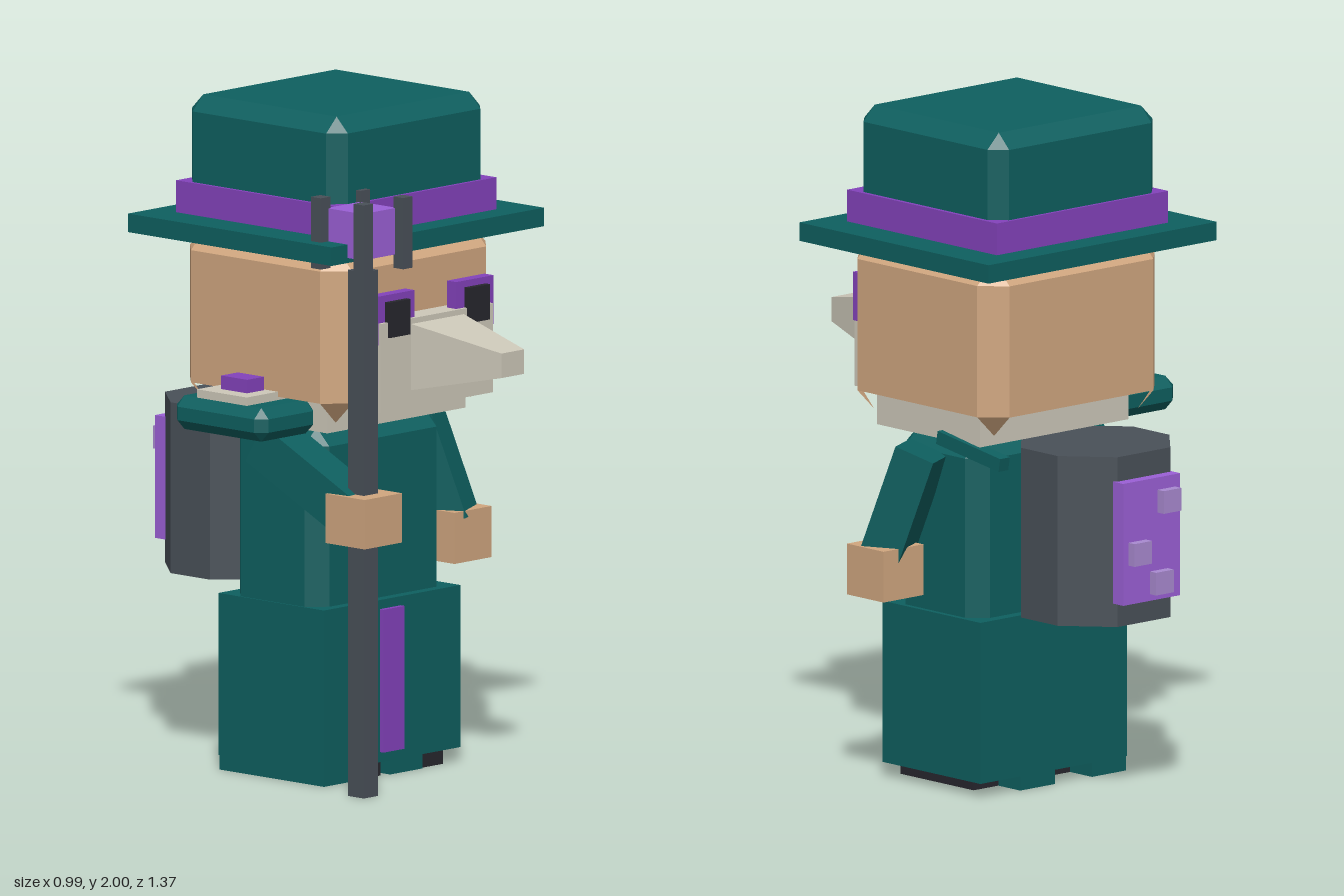
import * as THREE from 'three';
import { ConvexGeometry } from 'three/addons/geometries/ConvexGeometry.js';

const mat = (name, color, side = THREE.FrontSide) => {
  const m = new THREE.MeshStandardMaterial({ color, side });
  m.name = name;
  return m;
};

export function createModel() {
  const root = new THREE.Group();
  root.name = 'hattedTraveller';
  const teal = mat('teal cloth', 0x0e5f5f);
  const skin = mat('skin', 0xd0a67f, THREE.DoubleSide);
  const bone = mat('bone', 0xcdc8b9);
  const slate = mat('slate', 0x495058);
  const black = mat('charcoal', 0x27262d);
  const purple = mat('purple trim', 0x8342bb);
  const violet = mat('bright violet', 0x9b60d6);
  const lilac = mat('lilac', 0xa98ad0);

  const add = (name, geometry, material, parent = root) => {
    const mesh = new THREE.Mesh(geometry, material);
    mesh.name = name;
    parent.add(mesh);
    return mesh;
  };

  // Box given by its limits on each axis
  const box = (name, material, x0, x1, y0, y1, z0, z1, parent) => {
    const mesh = add(name, new THREE.BoxGeometry(x1 - x0, y1 - y0, z1 - z0), material, parent);
    mesh.position.set((x0 + x1) / 2, (y0 + y1) / 2, (z0 + z1) / 2);
    return mesh;
  };

  // Box with cut vertical edges, and optionally cut top and bottom edges
  const cutBox = (name, material, x0, x1, y0, y1, z0, z1, c, cutTop, cutBottom) => {
    const pts = [];
    for (const [x, dx] of [[x0, c], [x1, -c]]) {
      for (const [z, dz] of [[z0, c], [z1, -c]]) {
        for (const [y, dy, cut] of [[y0, c, cutBottom], [y1, -c, cutTop]]) {
          const side = cut ? y + dy : y;
          pts.push(new THREE.Vector3(x + dx, side, z), new THREE.Vector3(x, side, z + dz));
          if (cut) pts.push(new THREE.Vector3(x + dx, y, z + dz));
        }
      }
    }
    return add(name, new ConvexGeometry(pts), material);
  };

  // Square beam between two points
  const beam = (name, material, a, b, w) => {
    const from = new THREE.Vector3(...a), to = new THREE.Vector3(...b);
    const mesh = add(name, new THREE.BoxGeometry(w, w, from.distanceTo(to)), material);
    mesh.position.copy(from).lerp(to, 0.5);
    mesh.lookAt(to);
    return mesh;
  };

  // Hat
  cutBox('hatCrown', teal, -0.315, 0.34, 1.65, 2, -0.345, 0.282, 0.045, true, false);
  box('hatBand', purple, -0.327, 0.353, 1.65, 1.745, -0.355, 0.293);
  box('hatBrim', teal, -0.44, 0.466, 1.595, 1.65, -0.442, 0.377);

  // Head with pointed lower corners
  cutBox('head', skin, -0.341, 0.364, 1.155, 1.615, -0.349, 0.304, 0.067, true, false);
  const tips = [];
  for (const [x, sx] of [[-0.341, 1], [0.364, -1]]) {
    for (const [z, sz] of [[-0.349, 1], [0.304, -1]]) {
      const ix = x + sx * 0.067, iz = z + sz * 0.067;
      const a = [x, 1.155, iz], b = [ix, 1.155, z], p = [ix, 1.09, iz];
      tips.push(...(sx * sz > 0 ? [a, b, p] : [b, a, p]).flat());
    }
  }
  const tipGeometry = new THREE.BufferGeometry();
  tipGeometry.setAttribute('position', new THREE.Float32BufferAttribute(tips, 3));
  tipGeometry.computeVertexNormals();
  add('headCornerTips', tipGeometry, skin);
  box('neck', bone, -0.27, 0.32, 1.053, 1.157, -0.246, 0.2);

  // Face
  box('beakPlate', bone, -0.23, 0.247, 1.13, 1.395, 0.29, 0.378);
  const beak = [];
  for (const [z, x0, x1, y0, y1] of [[0.37, -0.103, 0.125, 1.18, 1.38], [0.683, -0.04, 0.057, 1.247, 1.32]]) {
    for (const x of [x0, x1]) for (const y of [y0, y1]) beak.push(new THREE.Vector3(x, y, z));
  }
  add('beak', new ConvexGeometry(beak), bone);
  for (const s of [-1, 1]) {
    const ex = 0.013 + s * 0.169;
    box('eyeFrame', purple, ex - 0.08, ex + 0.08, 1.33, 1.475, 0.33, 0.367);
    box('eye', black, ex - 0.045, ex + 0.045, 1.35, 1.455, 0.3, 0.385);
  }

  // Torso and skirt
  cutBox('torso', teal, -0.267, 0.294, 0.5, 1.053, -0.204, 0.156, 0.052, true, false);
  box('skirt', teal, -0.272, 0.31, 0.043, 0.525, -0.237, 0.188);
  box('skirtStripe', purple, -0.034, 0.056, 0.073, 0.498, 0.18, 0.203);
  for (const [x0, x1] of [[-0.27, -0.135], [0.012, 0.15]]) {
    box('hemBlock', teal, x0, x1, 0, 0.05, -0.235, 0.186);
  }
  for (const [x0, x1] of [[-0.135, -0.019], [0.15, 0.248]]) {
    box('foot', black, x0, x1, 0, 0.045, -0.14, 0.177);
  }

  // Arms and hands
  beam('leftArm', teal, [0.357, 1.015, -0.035], [0.408, 0.69, 0.068], 0.125);
  box('leftHand', skin, 0.336, 0.494, 0.578, 0.73, -0.018, 0.14);
  beam('rightArm', teal, [-0.335, 1.02, 0.02], [-0.3, 0.84, 0.34], 0.13);
  box('rightHand', skin, -0.378, -0.22, 0.753, 0.9, 0.294, 0.452);

  // Shoulder guard with its ornament, and the collar strap opposite
  cutBox('shoulderGuard', teal, -0.5, -0.25, 1.045, 1.145, -0.217, 0.152, 0.03, true, true);
  box('guardPlate', bone, -0.473, -0.28, 1.145, 1.17, -0.133, 0.067);
  box('guardGem', purple, -0.422, -0.35, 1.17, 1.21, -0.085, 0.02);
  beam('collarStrap', teal, [0.32, 1.06, -0.08], [0.31, 1.015, -0.34], 0.04);

  // Staff
  box('staffPole', slate, -0.33, -0.27, 0, 1.565, 0.34, 0.403);
  box('staffHead', violet, -0.372, -0.227, 1.61, 1.748, 0.292, 0.438);
  for (const x of [-0.404, -0.235]) {
    for (const z of [0.26, 0.432]) {
      box('staffProng', slate, x, x + 0.04, 1.57, 1.782, z, z + 0.04);
    }
  }

  // Eight-sided backpack
  const outline = [[0.105, 0.204], [0.222, 0.33], [0.222, 0.488], [0.105, 0.62]];
  const pack = [];
  for (const [x, z] of outline) {
    for (const s of [-1, 1]) for (const y of [0.545, 1.053]) pack.push(new THREE.Vector3(0.012 + s * x, y, -z));
  }
  add('backpack', new ConvexGeometry(pack), slate);
  box('backpackPanel', violet, -0.1, 0.126, 0.615, 0.98, -0.655, -0.61);
  for (const [x, y] of [[-0.08, 0.875], [0.036, 0.733], [-0.05, 0.635]]) {
    box('panelStud', lilac, x, x + 0.07, y, y + 0.068, -0.682, -0.65);
  }
  return root;
}
